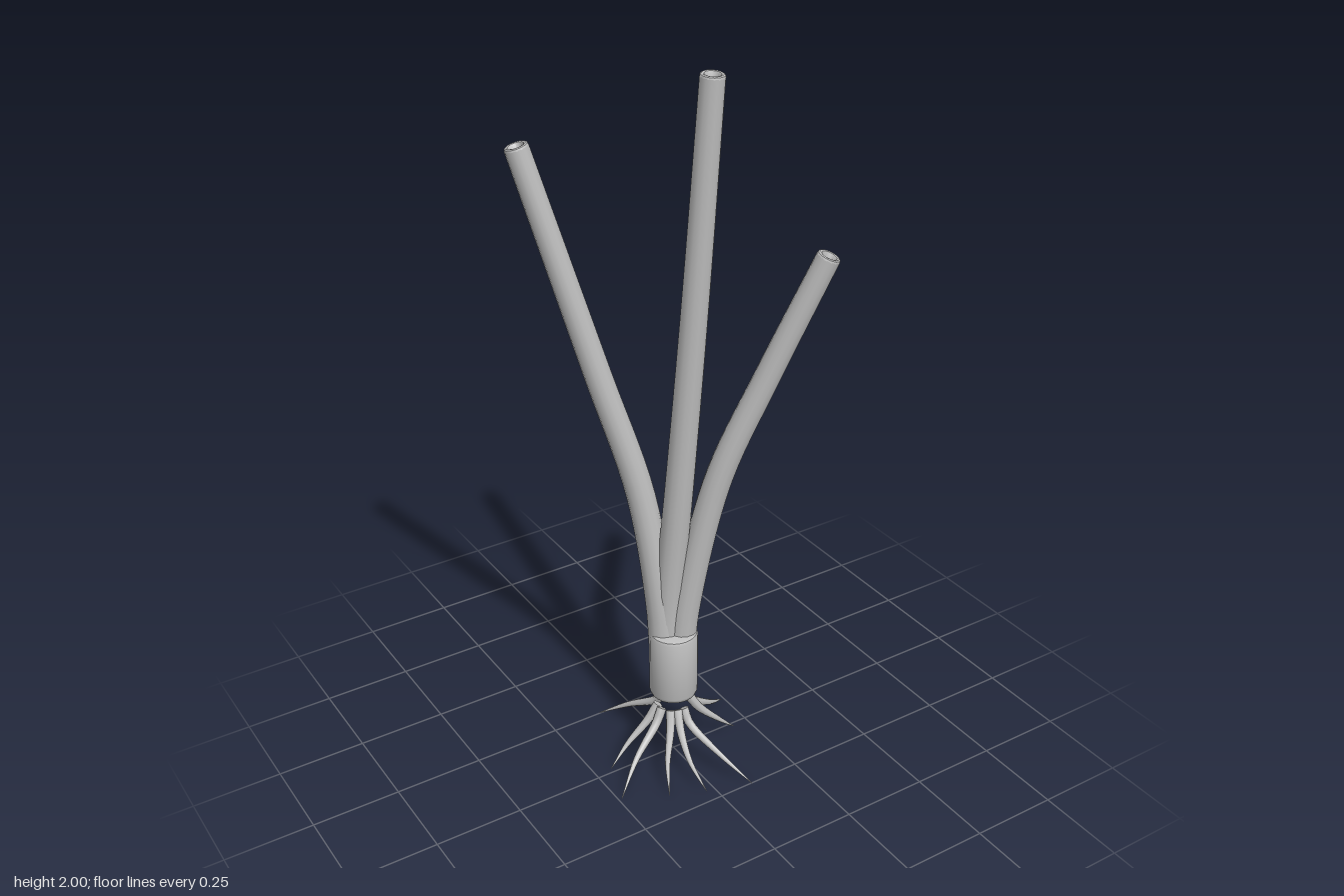
import * as THREE from 'three';
import { toCreasedNormals } from 'three/addons/utils/BufferGeometryUtils.js';

const V = (a) => new THREE.Vector3(...a);
const UP = new THREE.Vector3(0, 1, 0);

// Tube along a smooth curve whose radius follows radiusAt(t)
function taperedTube(curve, segments, sides, radiusAt) {
  const geo = new THREE.TubeGeometry(curve, segments, 1, sides);
  const pos = geo.attributes.position;
  const v = new THREE.Vector3();
  for (let i = 0; i <= segments; i++) {
    const centre = curve.getPointAt(i / segments);
    const r = radiusAt(i / segments);
    for (let j = 0; j <= sides; j++) {
      const k = i * (sides + 1) + j;
      v.fromBufferAttribute(pos, k).sub(centre).multiplyScalar(r).add(centre);
      pos.setXYZ(k, v.x, v.y, v.z);
    }
  }
  return geo;
}

function lathe(points, sides) {
  const geo = new THREE.LatheGeometry(points.map((p) => new THREE.Vector2(...p)), sides);
  return toCreasedNormals(geo, 0.7);
}

export function createModel() {
  const model = new THREE.Group();
  model.name = 'plant';
  const grey = new THREE.MeshStandardMaterial({ color: 0xbdbdbd });
  grey.name = 'plain grey';

  const add = (parent, name, geo) => {
    const mesh = new THREE.Mesh(geo, grey);
    mesh.name = name;
    parent.add(mesh);
    return mesh;
  };

  // Collar binding the stems, with rounded edges
  add(model, 'collar', lathe([
    [0, 0.205], [0.055, 0.205], [0.064, 0.211], [0.068, 0.222],
    [0.068, 0.405], [0.065, 0.413], [0.058, 0.416], [0, 0.416],
  ], 24));

  // Three hollow-tipped stems
  const stems = {
    rightStem: [[-0.022, 0.36, -0.015], [-0.028, 0.5, -0.022], [-0.065, 0.84, -0.06], [-0.157, 1.2, -0.115], [-0.311, 1.8, -0.205]],
    middleStem: [[-0.012, 0.36, -0.015], [-0.01, 0.5, -0.01], [0.002, 0.9, 0.027], [0.02, 1.4, 0.065], [0.039, 1.993, 0.104]],
    leftStem: [[0.02, 0.36, 0.005], [0.03, 0.5, 0.016], [0.095, 0.9, 0.068], [0.195, 1.2, 0.134], [0.309, 1.53, 0.217]],
  };
  for (const [name, path] of Object.entries(stems)) {
    const stem = new THREE.Group();
    stem.name = name;
    model.add(stem);
    const curve = new THREE.CatmullRomCurve3(path.map(V));
    add(stem, 'stalk', taperedTube(curve, 28, 14, (t) => 0.042 - 0.011 * t));
    // Rounded rim and recessed hollow at the tip
    const rim = add(stem, 'hollowTip', lathe([
      [0.031, -0.001], [0.0295, 0.004], [0.026, 0.006], [0.021, 0.005],
      [0.018, 0], [0.017, -0.04], [0, -0.044],
    ], 14));
    rim.position.copy(curve.getPointAt(1));
    rim.quaternion.setFromUnitVectors(UP, curve.getTangentAt(1));
  }

  // Five curved roots, each repeated on the opposite side
  const rootPaths = [
    [[-0.004, 0.175, -0.048], [-0.008, 0.135, -0.07], [-0.05, 0.068, -0.17], [-0.1, 0.004, -0.252]],
    [[0.016, 0.175, -0.046], [0.026, 0.125, -0.078], [0.037, 0.068, -0.142], [0.026, 0.004, -0.211]],
    [[0.034, 0.175, -0.038], [0.052, 0.125, -0.064], [0.095, 0.064, -0.118], [0.122, 0.004, -0.171]],
    [[0.048, 0.175, -0.014], [0.072, 0.135, -0.022], [0.155, 0.068, -0.052], [0.24, 0.004, -0.11]],
    [[0.047, 0.175, 0.008], [0.078, 0.125, 0.015], [0.14, 0.062, 0.023], [0.2, 0.004, 0.015]],
  ];
  const roots = new THREE.Group();
  roots.name = 'roots';
  model.add(roots);
  for (const turn of [0, Math.PI]) {
    for (const path of rootPaths) {
      const root = new THREE.Group();
      root.name = 'root';
      root.rotation.y = turn;
      roots.add(root);
      const curve = new THREE.CatmullRomCurve3(path.map(V));
      add(root, 'rootStrand', taperedTube(curve, 14, 8, (t) => 0.0125 * (1 - t ** 1.5) + 0.001));
      const cap = add(root, 'rootCap', new THREE.CircleGeometry(0.0135, 8));
      cap.position.copy(curve.getPointAt(0));
      cap.quaternion.setFromUnitVectors(new THREE.Vector3(0, 0, 1), curve.getTangentAt(0).negate());
    }
  }
  return model;
}
